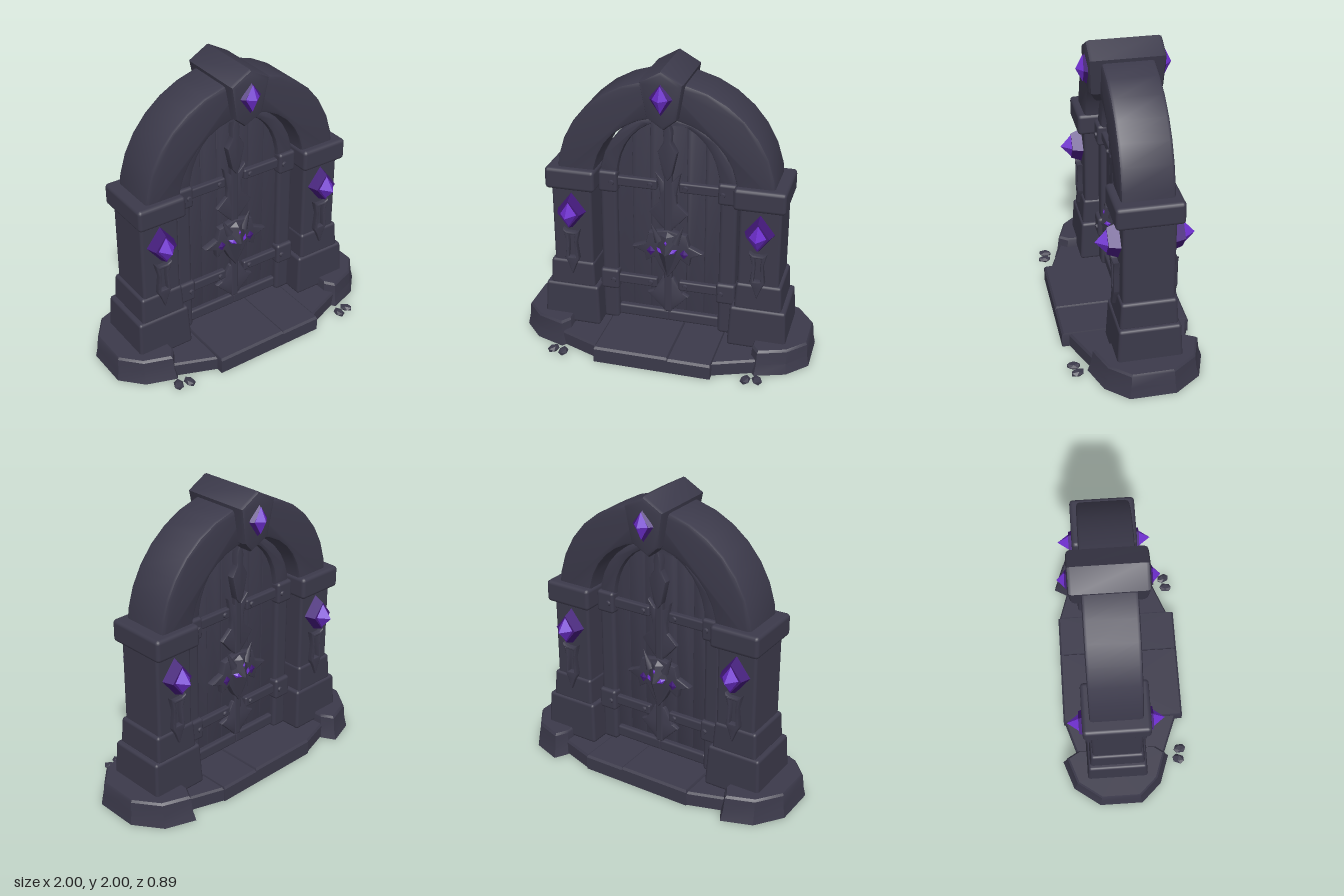
import * as THREE from 'three';
import { toCreasedNormals } from 'three/addons/utils/BufferGeometryUtils.js';
import { RoundedBoxGeometry } from 'three/addons/geometries/RoundedBoxGeometry.js';
import { ConvexGeometry } from 'three/addons/geometries/ConvexGeometry.js';

const material = (name, color) => {
  const m = new THREE.MeshStandardMaterial({ color, side: THREE.DoubleSide });
  m.name = name;
  return m;
};

const MID = -0.065; // depth of the wall's centre plane
const SIDES = [-1, 1];

// Add a named mesh at a position
function add(parent, name, geometry, mat, x = 0, y = 0, z = 0) {
  const mesh = new THREE.Mesh(geometry, mat);
  mesh.name = name;
  mesh.position.set(x, y, z);
  parent.add(mesh);
  return mesh;
}

// Rounded block, narrowed at the top by the factor taper
function block(w, h, d, radius = 0.02, taper = 1) {
  const g = new RoundedBoxGeometry(w, h, d, 2, radius);
  const p = g.attributes.position;
  for (let i = 0; i < p.count; i++) {
    const s = 1 + (taper - 1) * (p.getY(i) / h + 0.5);
    p.setX(i, p.getX(i) * s);
    p.setZ(i, p.getZ(i) * s);
  }
  return g;
}

// Bevelled plate centred on z = 0, cut from an outline
function plate(points, depth, bevel, hole) {
  const shape = new THREE.Shape(points.map(p => new THREE.Vector2(...p)));
  if (hole) shape.holes.push(new THREE.Path(hole.map(p => new THREE.Vector2(...p))));
  const g = new THREE.ExtrudeGeometry(shape, {
    depth: depth - 2 * bevel, bevelEnabled: bevel > 0, bevelSize: bevel, bevelThickness: bevel,
    bevelOffset: -bevel, bevelSegments: 2,
  });
  g.translate(0, 0, bevel - depth / 2);
  return toCreasedNormals(g, 0.6);
}

// Complete a right-hand half outline with its mirror image
const mirrored = half => [...half, ...half.filter(p => p[0] > 0).reverse().map(([x, y]) => [-x, y])];

// Half ring between an outer circle and an inner ellipse
function archOutline(cy, outer, innerX, innerY, n = 16) {
  const pts = [];
  for (let i = 0; i <= n; i++) {
    const a = Math.PI * i / n;
    pts.push([outer * Math.cos(a), cy + outer * Math.sin(a)]);
  }
  for (let i = n; i >= 0; i--) {
    const a = Math.PI * i / n;
    pts.push([innerX * Math.cos(a), cy + innerY * Math.sin(a)]);
  }
  return pts;
}

// Hollow stone: an [x, z] outline lofted through [y, scale] levels, open underneath
function shell(outline, levels) {
  const n = outline.length;
  const cx = outline.reduce((s, p) => s + p[0], 0) / n;
  const cz = outline.reduce((s, p) => s + p[1], 0) / n;
  const pos = [], index = [];
  for (const [y, s] of levels)
    for (const [x, z] of outline) pos.push(cx + (x - cx) * s, y, cz + (z - cz) * s);
  const top = (levels.length - 1) * n;
  pos.push(cx, levels[levels.length - 1][0], cz);
  for (let i = 0; i < n; i++) {
    const j = (i + 1) % n;
    for (let k = 0; k < top; k += n) index.push(k + i, k + j, k + n + j, k + i, k + n + j, k + n + i);
    index.push(top + i, top + j, top + n);
  }
  const g = new THREE.BufferGeometry();
  g.setAttribute('position', new THREE.Float32BufferAttribute(pos, 3));
  g.setIndex(index);
  return toCreasedNormals(g, 0.5);
}

const flip = (outline, s) => s > 0 ? outline : outline.map(([x, z]) => [-x, z]).reverse();

export function createModel() {
  const stone = material('dark stone', 0x3b394a);
  const gemMat = material('violet gem', 0x6f2fd0);
  const rimMat = material('deep purple setting', 0x43197a);

  const model = new THREE.Group();
  model.name = 'archedGate';

  // Threshold slabs
  const slabLevels = h => [[0, 1], [h - 0.015, 1], [h, 0.97]];
  const slab = (x0, x1) => [[x0, 0.43], [x1, 0.43], [x1, -0.43], [x0, -0.43]];
  add(model, 'wideSlab', shell(slab(-0.4, 0.11), slabLevels(0.112)), stone);
  add(model, 'narrowSlab', shell(slab(0.11, 0.4), slabLevels(0.105)), stone);
  for (const s of SIDES) {
    const end = [[0.4, 0.38], [0.68, 0.27], [0.68, -0.33], [0.4, -0.42]];
    add(model, 'endSlab', shell(flip(end, s), slabLevels(0.1)), stone);

    // Flared footing
    const foot = [[0.62, 0.24], [0.67, 0.31], [0.87, 0.24], [1, 0.1], [1, -0.2], [0.87, -0.38], [0.67, -0.45], [0.62, -0.36]];
    add(model, 'footing', shell(flip(foot, s), [[0, 1], [0.07, 0.94], [0.155, 0.91], [0.17, 0.87]]), stone);

    // Pillar courses and capital
    add(model, 'pillarBase', block(0.4, 0.29, 0.43, 0.02, 0.93), stone, s * 0.645, 0.25, MID);
    add(model, 'pillarCourse', block(0.32, 0.19, 0.38, 0.02, 0.94), stone, s * 0.642, 0.475, MID);
    add(model, 'pillarShaft', block(0.275, 0.62, 0.335, 0.02), stone, s * 0.635, 0.84, MID);
    add(model, 'capital', block(0.34, 0.15, 0.43, 0.025), stone, s * 0.632, 1.185, MID);

    // Loose pebbles
    [[0.705, 0.38, 0.4], [0.63, 0.395, -0.1]].forEach(([x, z, turn]) => {
      const pebble = add(model, 'pebble', new THREE.IcosahedronGeometry(1, 0), stone, s * x, 0.02, z);
      pebble.scale.set(0.035, 0.022, 0.05);
      pebble.rotation.y = s * turn;
    });
  }

  // Stone arch
  add(model, 'arch', plate(archOutline(1.18, 0.73, 0.48, 0.48), 0.335, 0.02), stone, 0, 0, MID);

  // Keystone, thinner toward its lower point
  const key = plate(mirrored([[0, 1.59], [0.1, 1.68], [0.142, 1.92], [0, 2]]), 0.49, 0.025);
  const kp = key.attributes.position;
  for (let i = 0; i < kp.count; i++) {
    const t = THREE.MathUtils.clamp((1.71 - kp.getY(i)) / 0.11, 0, 1);
    kp.setZ(i, kp.getZ(i) * (1 - 0.22 * t));
  }
  add(model, 'keystone', key, stone, 0, 0, MID);

  // Door planks following the arched top
  const door = new THREE.Group();
  door.name = 'door';
  door.position.z = MID;
  model.add(door);
  const topAt = x => 1.18 + 0.45 * Math.sqrt(Math.max(0, 1 - (x / 0.385) ** 2));
  const PLANKS = 6, PW = 0.74 / PLANKS;
  for (let i = 0; i < PLANKS; i++) {
    const x0 = -0.37 + i * PW, pts = [[x0, 0.215], [x0 + PW, 0.215]];
    for (let k = 4; k >= 0; k--) pts.push([x0 + PW * k / 4, topAt(x0 + PW * k / 4)]);
    add(door, 'doorPlank', plate(pts, 0.08, 0.005), stone);
  }
  for (const s of SIDES) add(door, 'bottomRail', block(0.36, 0.08, 0.12, 0.015), stone, s * 0.175, 0.165);

  // Door frame
  add(door, 'frameArch', plate(archOutline(1.18, 0.462, 0.345, 0.425), 0.16, 0.02), stone);
  for (const s of SIDES) add(door, 'framePost', block(0.115, 1.12, 0.16, 0.025), stone, s * 0.407, 0.66);

  // Ornaments shared by both faces of the gate
  function createFace(name) {
    const face = new THREE.Group();
    face.name = name;

    // Faceted gem in a diamond setting
    const jewel = (x, y, z, w, h, rimDepth, gw, gh, gd) => {
      const rim = new THREE.CylinderGeometry(0.72, 1, 1, 4).toNonIndexed();
      rim.rotateX(Math.PI / 2);
      rim.scale(w, h, rimDepth);
      rim.computeVertexNormals();
      add(face, 'gemSetting', rim, rimMat, x, y, z + rimDepth / 2);
      const gem = new THREE.OctahedronGeometry(1);
      gem.scale(gw, gh, gd);
      add(face, 'gem', gem, gemMat, x, y, z + rimDepth);
    };
    jewel(0, 1.82, 0.235, 0.075, 0.11, 0.025, 0.05, 0.09, 0.045);

    for (const s of SIDES) {
      jewel(s * 0.635, 0.95, 0.15, 0.105, 0.135, 0.09, 0.056, 0.085, 0.075);

      // Forked pendant below the pillar gem
      const pendant = mirrored([[0, 0.48], [0.03, 0.56], [0.05, 0.6], [0.035, 0.72], [0.06, 0.82], [0.03, 0.8]]);
      const gap = [[-0.024, 0.61], [-0.016, 0.72], [-0.024, 0.78], [0.024, 0.78], [0.016, 0.72], [0.024, 0.61]];
      add(face, 'pendant', plate(pendant, 0.06, 0.01, gap), stone, s * 0.635, 0, 0.175);

      // Hinges with bolts
      for (const y of [1.155, 0.42]) {
        add(face, 'hingeBracket', block(0.13, 0.15, 0.11, 0.02), stone, s * 0.405, y, 0.05);
        add(face, 'hingeStrap', block(0.28, 0.07, 0.06, 0.012), stone, s * 0.215, y, 0.045);
        for (const [bx, bz] of [[0.12, 0.078], [0.375, 0.108]]) {
          const bolt = new THREE.CylinderGeometry(0.015, 0.022, 0.02, 8);
          bolt.rotateX(Math.PI / 2);
          add(face, 'bolt', bolt, stone, s * bx, y, bz);
        }
      }

      // Horns and glowing eyes of the mask
      const horn = add(face, 'horn', new THREE.ConeGeometry(0.03, 0.14, 6), stone, s * 0.085, 0.82, 0.085);
      horn.rotation.z = -s * 0.4;
      const eye = add(face, 'eye', new THREE.OctahedronGeometry(1), gemMat, s * 0.048, 0.7, 0.116);
      eye.scale.set(0.032, 0.02, 0.012);
      eye.rotation.set(0, s * 0.7, s * 0.35);
      const cheek = add(face, 'cheekGlow', new THREE.OctahedronGeometry(1), rimMat, s * 0.115, 0.675, 0.085);
      cheek.scale.set(0.03, 0.035, 0.009);
    }

    // Central bar, spearhead and blade plates
    add(face, 'centreBar', block(0.055, 1.25, 0.05, 0.012), stone, 0, 0.83, 0.05);
    const spear = [[0, 1.2], [0.03, 1.24], [0.065, 1.4], [0.025, 1.47], [0.03, 1.54], [0, 1.63]];
    add(face, 'spearhead', plate(mirrored(spear), 0.07, 0.012), stone, 0, 0, 0.055);
    const upper = [[0, 0.82], [0.05, 0.86], [0.135, 0.96], [0.06, 1.03], [0.055, 1.1], [0.085, 1.25], [0.03, 1.19], [0, 1.19]];
    add(face, 'upperBlade', plate(mirrored(upper), 0.05, 0.008), stone, 0, 0, 0.045);
    const lower = [[0, 0.21], [0.03, 0.22], [0.145, 0.34], [0.1, 0.36], [0.04, 0.47], [0, 0.48]];
    add(face, 'lowerBlade', plate(mirrored(lower), 0.05, 0.008), stone, 0, 0, 0.045);
    const wings = [[0, 0.48], [0.05, 0.55], [0.09, 0.63], [0.15, 0.59], [0.16, 0.65], [0.245, 0.69], [0.15, 0.73], [0.13, 0.81], [0, 0.84]];
    add(face, 'maskWings', plate(mirrored(wings), 0.06, 0.01), stone, 0, 0, 0.055);

    // Beaked mask
    const head = [[0, 0.8, 0.12], [0, 0.68, 0.15], [0, 0.5, 0.09], [0, 0.84, 0.07]];
    for (const s of SIDES) head.push([s * 0.08, 0.8, 0.06], [s * 0.1, 0.71, 0.06], [s * 0.045, 0.6, 0.06]);
    add(face, 'mask', new ConvexGeometry(head.map(p => new THREE.Vector3(...p))), stone);
    const brow = add(face, 'browGem', new THREE.OctahedronGeometry(1), gemMat, 0, 0.765, 0.13);
    brow.scale.set(0.01, 0.02, 0.008);
    return face;
  }
  const front = createFace('frontOrnaments');
  const back = createFace('backOrnaments');
  front.position.z = back.position.z = MID;
  back.rotation.y = Math.PI;
  model.add(front, back);

  return model;
}
